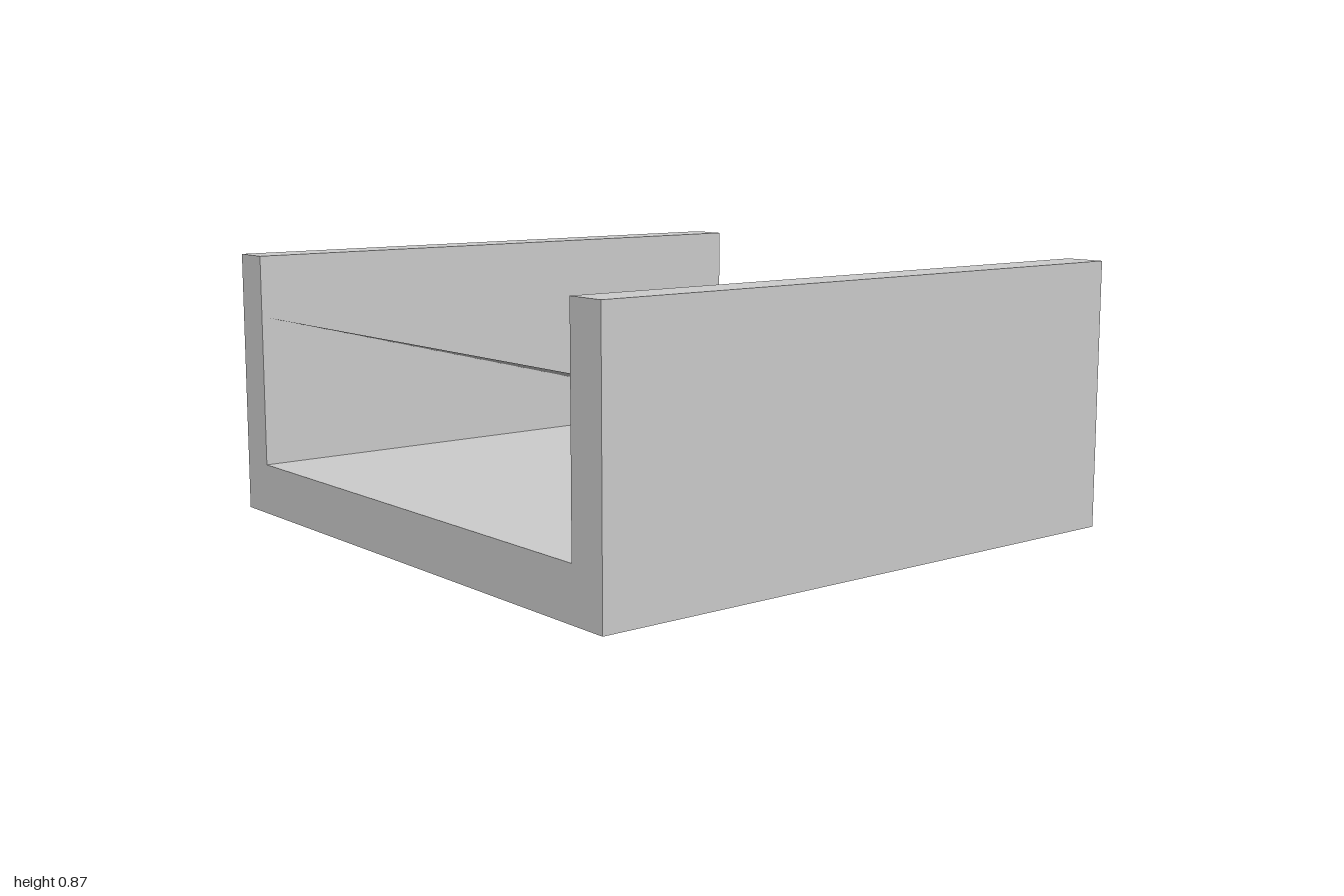
import * as THREE from 'three';

export function createModel() {
  const group = new THREE.Group();
  const grey = new THREE.MeshStandardMaterial({ color: 0xcccccc });
  grey.name = 'light grey';
  const greySheet = grey.clone();
  greySheet.side = THREE.DoubleSide;

  const inner = 0.867, wallTop = 0.867, floorTop = 0.167, rampTop = 0.667;

  // U-shaped channel: floor and two side walls
  const profile = new THREE.Shape([
    [-1, 0], [1, 0], [1, wallTop], [inner, wallTop], [inner, floorTop],
    [-inner, floorTop], [-inner, wallTop], [-1, wallTop],
  ].map(([x, y]) => new THREE.Vector2(x, y)));
  const channelGeometry = new THREE.ExtrudeGeometry(profile, { depth: 2, bevelEnabled: false });
  channelGeometry.translate(0, 0, -1);
  const channel = new THREE.Mesh(channelGeometry, grey);
  channel.name = 'channel';
  group.add(channel);

  // Thin ramp rising from the floor at the back to the open front
  const rise = rampTop - floorTop;
  const rampGeometry = new THREE.PlaneGeometry(2 * inner, Math.hypot(2, rise));
  rampGeometry.rotateX(-Math.PI / 2 + Math.atan2(rise, 2));
  // Tilt so the front edge (+z) is the high one
  const p = rampGeometry.attributes.position;
  for (let i = 0; i < p.count; i++) {
    p.setY(i, p.getZ(i) > 0 ? rampTop : floorTop);
  }
  rampGeometry.computeVertexNormals();
  const ramp = new THREE.Mesh(rampGeometry, greySheet);
  ramp.name = 'ramp';
  group.add(ramp);

  return group;
}
